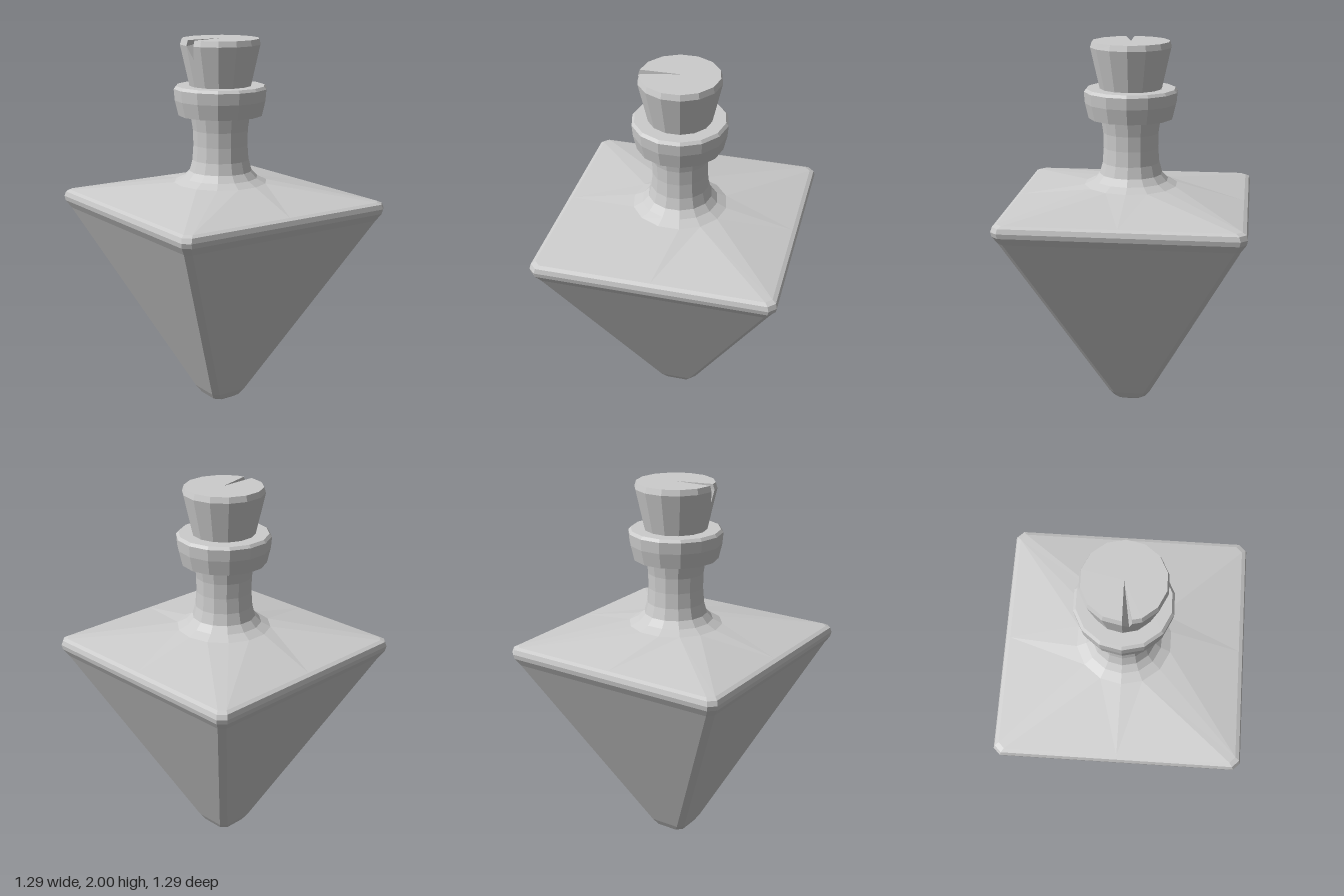
import * as THREE from 'three';

const SIDES = 14;
const material = new THREE.MeshStandardMaterial({ color: 0xcccccc, flatShading: true });

// Round cross-section, starting at +z and turning towards +x
function ring(r, y, sides = SIDES) {
  return Array.from({ length: sides }, (_, i) => {
    const a = (i / sides) * Math.PI * 2;
    return new THREE.Vector3(Math.sin(a) * r, y, Math.cos(a) * r);
  });
}

// Square cross-section with cut corners and edge midpoints, same order as ring
function square(h, c, y) {
  const loop = [];
  for (let q = 0; q < 4; q++) {
    for (const [x, z] of [[0, h], [h - c, h], [h, h - c]]) {
      const p = new THREE.Vector3(x, y, z);
      for (let k = 0; k < q; k++) p.set(p.z, y, -p.x);
      loop.push(p);
    }
  }
  return loop;
}

const angle = (loop, i) => {
  if (i >= loop.length) return Math.PI * 2;
  return (Math.atan2(loop[i].x, loop[i].z) + Math.PI * 2) % (Math.PI * 2);
};

// Joins a lower loop to an upper one; differing counts are matched by angle
function stitch(tris, a, b, skip = -1) {
  const at = (loop, i) => loop[i % loop.length];
  if (a.length === b.length) {
    for (let i = 0; i < a.length; i++) {
      if (i === skip) continue;
      tris.push(at(a, i), at(a, i + 1), at(b, i + 1), at(a, i), at(b, i + 1), at(b, i));
    }
    return;
  }
  let i = 0, j = 0;
  while (i < a.length || j < b.length) {
    if (j >= b.length || (i < a.length && angle(a, i + 1) <= angle(b, j + 1))) {
      tris.push(at(a, i), at(a, i + 1), at(b, j));
      i++;
    } else {
      tris.push(at(a, i), at(b, j + 1), at(b, j));
      j++;
    }
  }
}

function cap(tris, loop, up, skip = -1) {
  const centre = new THREE.Vector3(0, loop[0].y, 0);
  loop.forEach((p, i) => {
    const n = loop[(i + 1) % loop.length];
    if (i !== skip) tris.push(centre, up ? p : n, up ? n : p);
  });
}

function loft(tris, loops, skip) {
  for (let i = 0; i + 1 < loops.length; i++) stitch(tris, loops[i], loops[i + 1], skip);
}

function makeMesh(name, tris) {
  const geometry = new THREE.BufferGeometry().setFromPoints(tris);
  geometry.computeVertexNormals();
  const mesh = new THREE.Mesh(geometry, material);
  mesh.name = name;
  return mesh;
}

// Inverted pyramid flask flowing into a round neck
function makeFlask() {
  const loops = [
    square(0.06, 0.025, 0),
    square(0.088, 0.03, 0.018),
    square(0.112, 0.03, 0.055),
    square(0.605, 0.03, 1.06),
    square(0.63, 0.035, 1.1),
    square(0.635, 0.035, 1.125),
    square(0.628, 0.035, 1.15),
    square(0.608, 0.03, 1.16),
    ...[[0.25, 1.24], [0.2, 1.265], [0.168, 1.3], [0.152, 1.36], [0.146, 1.44],
      [0.148, 1.52], [0.16, 1.6], [0.16, 1.63]].map(([r, y]) => ring(r, y)),
  ];
  const tris = [];
  cap(tris, loops[0], false);
  loft(tris, loops);
  const mesh = makeMesh('flask', tris);
  mesh.rotation.y = -0.018;
  return mesh;
}

// Thick lip around the mouth
function makeCollar() {
  const profile = [[0.14, 1.6], [0.225, 1.6], [0.244, 1.68], [0.249, 1.74], [0.236, 1.755], [0.13, 1.755]];
  const tris = [];
  loft(tris, profile.map(([r, y]) => ring(r, y)));
  return makeMesh('collar', tris);
}

// Tapered stopper with a wedge split running from the centre to the front rim
function makeStopper() {
  const splitRing = (r, y) => {
    const loop = ring(r, y);
    loop.splice(1, 0, loop[0].clone().lerp(loop[1], 0.5));
    return loop;
  };
  const low = splitRing(0.13, 1.6);
  const rim = splitRing(0.214, 1.97);
  const top = splitRing(0.205, 2);
  const tris = [];
  cap(tris, low, false);
  loft(tris, [low, rim, top], 0);
  cap(tris, top, true, 0);

  // Split walls and the side facet below them
  const centre = new THREE.Vector3(0, 2, 0);
  const t = (1.9 - 1.6) / (1.97 - 1.6);
  const left = low[0].clone().lerp(rim[0], t);
  const right = low[1].clone().lerp(rim[1], t);
  const tip = left.lerp(right, 0.75);
  tris.push(low[0], low[1], tip, low[0], tip, rim[0], low[1], rim[1], tip);
  tris.push(centre, top[0], rim[0], centre, rim[0], tip);
  tris.push(centre, tip, rim[1], centre, rim[1], top[1]);
  return makeMesh('stopper', tris);
}

export function createModel() {
  const group = new THREE.Group();
  group.name = 'bottle';
  group.add(makeFlask(), makeCollar(), makeStopper());
  return group;
}
